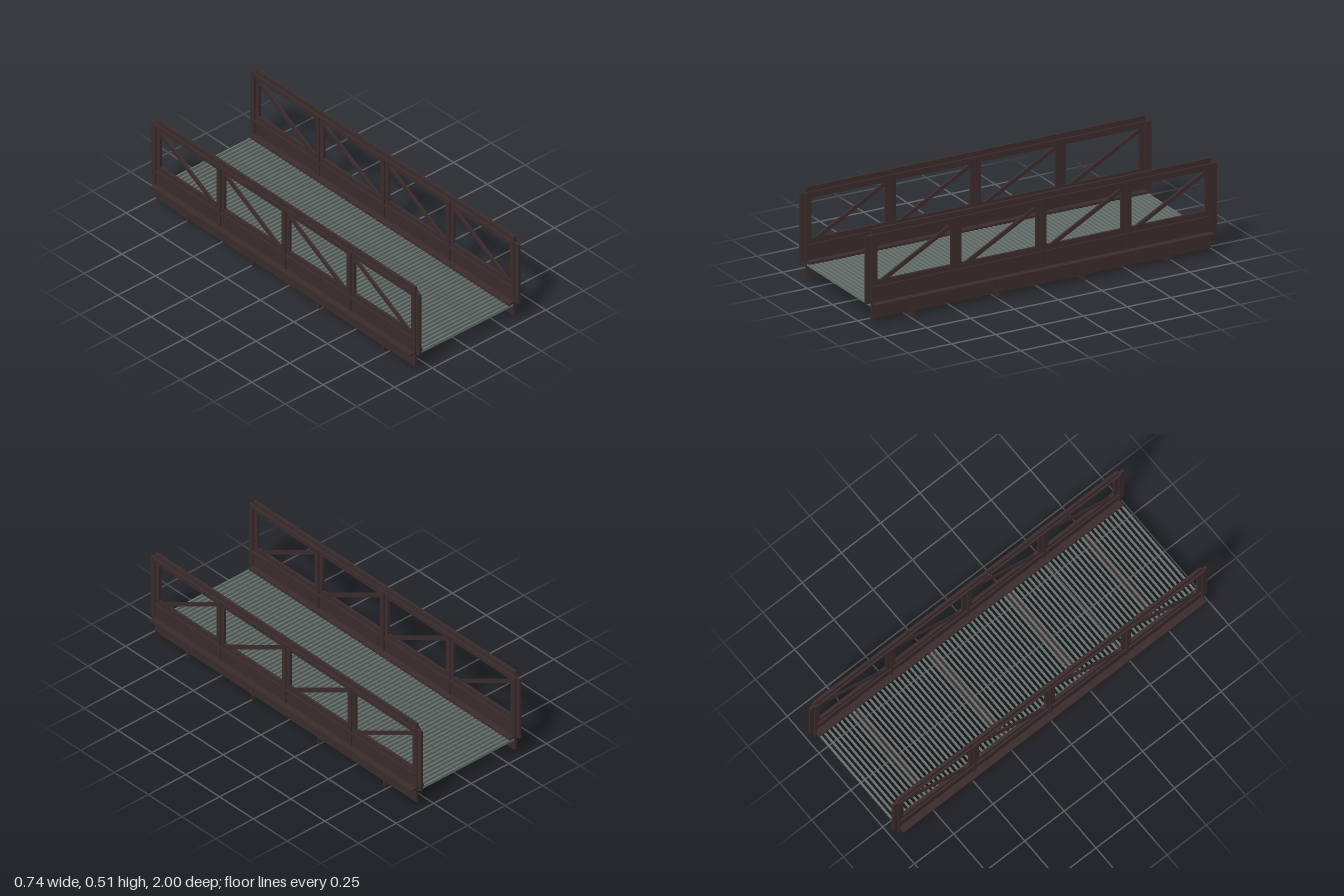
import * as THREE from 'three';

export function createModel() {
  const bridge = new THREE.Group();
  bridge.name = 'footbridge';
  const steel = new THREE.MeshStandardMaterial({ color: 0x3b2b2c });
  steel.name = 'dark brown steel';
  const grating = new THREE.MeshStandardMaterial({ color: 0x68736f });
  grating.name = 'grey green grating';

  const box = (parent, name, size, pos, material = steel) => {
    const mesh = new THREE.Mesh(new THREE.BoxGeometry(...size), material);
    mesh.name = name;
    mesh.position.set(...pos);
    parent.add(mesh);
    return mesh;
  };

  // Lengthwise member with a cross-shaped section: upright web and flat flange
  const longMember = (parent, name, x, y0, y1, flangeWidth, flangeY, length) => {
    const member = new THREE.Group();
    member.name = name;
    box(member, 'web', [0.014, y1 - y0, length], [x, (y0 + y1) / 2, 0]);
    box(member, 'flange', [flangeWidth, 0.012, length], [x, flangeY, 0]);
    parent.add(member);
  };

  const postZ = [0.968, 0.485, 0, -0.485, -0.968];

  for (const side of [1, -1]) {
    const x = side * 0.327;
    const truss = new THREE.Group();
    truss.name = side > 0 ? 'leftTruss' : 'rightTruss';
    bridge.add(truss);

    longMember(truss, 'girder', x, 0.03, 0.2, 0.085, 0.111, 1.932);
    longMember(truss, 'middleRail', x, 0.17, 0.23, 0.032, 0.197, 1.932);
    longMember(truss, 'topRail', x, 0.445, 0.508, 0.034, 0.475, 1.932);

    // Posts with a cross-shaped section
    postZ.forEach((z) => {
      const post = new THREE.Group();
      post.name = 'post';
      const width = Math.abs(z) > 0.9 ? 0.064 : 0.058;
      box(post, 'postWeb', [0.0135, 0.36, width], [x, 0.296, z]);
      box(post, 'postFlange', [0.03, 0.36, 0.012], [x, 0.296, z]);
      truss.add(post);
    });

    // One diagonal per bay, rising towards the back
    for (let i = 0; i < 4; i++) {
      const dz = postZ[i + 1] - postZ[i];
      const dy = 0.262;
      const brace = box(truss, 'diagonalBrace', [0.012, 0.02, Math.hypot(dz, dy)],
        [x, 0.19 + dy / 2, (postZ[i] + postZ[i + 1]) / 2]);
      brace.rotation.x = Math.atan2(dy, -dz);
    }
  }

  // Crossbeams under the deck
  for (const z of [0.728, 0.243, -0.243, -0.728]) {
    const beam = new THREE.Group();
    beam.name = 'crossbeam';
    box(beam, 'beamWeb', [0.676, 0.086, 0.012], [0, 0.043, z]);
    box(beam, 'beamFlange', [0.676, 0.012, 0.044], [0, 0.043, z]);
    bridge.add(beam);
  }

  // Open deck of narrow slats
  const deck = new THREE.Group();
  deck.name = 'deck';
  bridge.add(deck);
  const count = 75;
  for (let i = 0; i < count; i++) {
    const z = -0.96 + (1.92 * i) / (count - 1);
    box(deck, 'deckSlat', [0.63, 0.017, 0.009], [0, 0.0985, z], grating);
  }

  return bridge;
}
